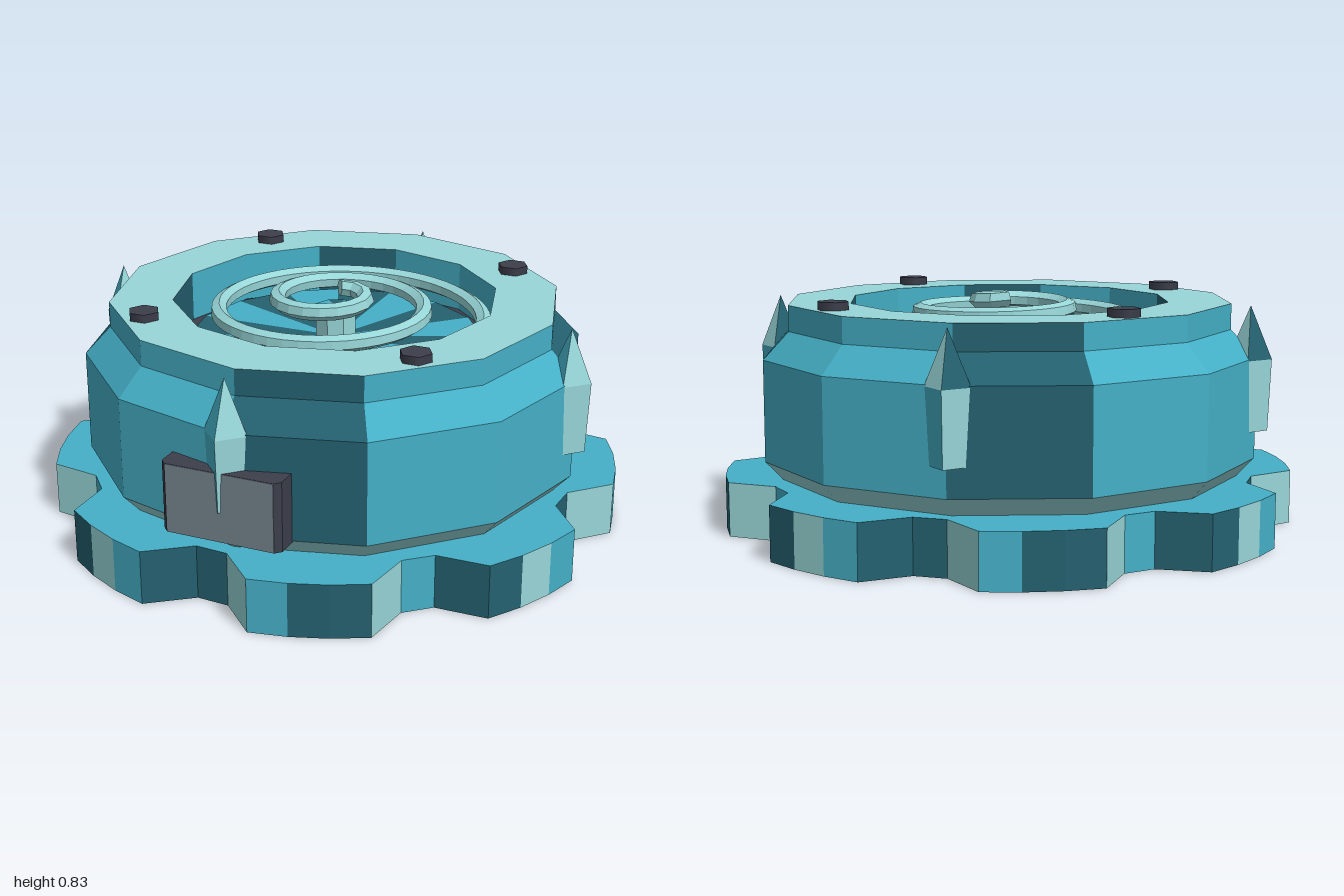
import * as THREE from 'three';

const mat = (name, color) => Object.assign(new THREE.MeshStandardMaterial({ color }), { name });

// Point on a circle: angle is measured from the front (+z) toward +x
const polar = (r, a, y) => [r * Math.sin(a), y, r * Math.cos(a)];

export function createModel() {
  const model = new THREE.Group();
  const teal = mat('teal', 0x45b0c7);
  const dark = mat('darkTeal', 0x246170);
  const light = mat('paleAqua', 0x98d6d8);
  const charcoal = mat('charcoal', 0x3c3e4b);
  const gray = mat('gray', 0x74848b);

  const add = (name, geometry, material, parent = model) => {
    const mesh = new THREE.Mesh(geometry, material);
    mesh.name = name;
    parent.add(mesh);
    return mesh;
  };

  // Faceted strip between two rings; pick(i) gives the material of facet i
  function band(name, n, [rA, yA], [rB, yB], pick, parent = model, start = 0) {
    const radius = (r, i) => (typeof r === 'function' ? r(i % n) : r);
    const mats = [], pos = [], geometry = new THREE.BufferGeometry();
    for (let i = 0; i < n; i++) {
      const a = start + (i / n) * Math.PI * 2, b = start + ((i + 1) / n) * Math.PI * 2;
      const p = polar(radius(rA, i), a, yA), q = polar(radius(rA, i + 1), b, yA);
      const s = polar(radius(rB, i + 1), b, yB), t = polar(radius(rB, i), a, yB);
      const first = pos.length / 3;
      if (rA !== 0) pos.push(...p, ...q, ...s);
      if (rB !== 0) pos.push(...p, ...s, ...t);
      const m = pick(i);
      if (!mats.includes(m)) mats.push(m);
      geometry.addGroup(first, pos.length / 3 - first, mats.indexOf(m));
    }
    geometry.setAttribute('position', new THREE.Float32BufferAttribute(pos, 3));
    geometry.computeVertexNormals();
    return add(name, geometry, mats, parent);
  }

  // Scalloped base: eight lobes, six outline points each
  const lobe = (i) => (i % 6 === 0 || i % 6 === 5 ? 0.872 : 1.0086);
  band('baseSide', 48, [lobe, 0], [lobe, 0.19], (i) => [light, teal, dark, dark][i % 4]);
  band('baseTop', 48, [lobe, 0.19], [0, 0.19], () => teal);
  band('baseBottom', 48, [0, 0], [lobe, 0], () => dark);

  // Twelve-sided drum, every third panel dark
  const panel = (i) => (i % 3 === 0 ? dark : teal);
  band('drumFoot', 12, [0.82, 0.19], [0.88, 0.255], () => light);
  band('drumWall', 12, [0.88, 0.255], [0.88, 0.61], panel);
  band('drumShoulder', 12, [0.88, 0.61], [0.79, 0.705], panel);
  band('drumCollar', 12, [0.79, 0.705], [0.79, 0.795], panel);
  band('drumRim', 12, [0.79, 0.795], [0.57, 0.795], () => light);

  // Recess with a sectored floor and a hub
  const sector = (i) => (i % 2 ? teal : dark);
  band('recessWall', 12, [0.57, 0.795], [0.57, 0.62], panel);
  band('recessFloor', 12, [0.57, 0.62], [0, 0.62], () => charcoal);
  band('dialSide', 16, [0.52, 0.62], [0.52, 0.64], sector);
  band('dialFace', 16, [0.52, 0.64], [0, 0.64], sector);
  band('hubSide', 8, [0.075, 0.64], [0.075, 0.75], () => light);
  band('hubTop', 8, [0.075, 0.75], [0, 0.75], sector);

  // Coil that rises as it winds inward
  class Coil extends THREE.Curve {
    getPoint(t, target = new THREE.Vector3()) {
      const q = t * 9.1;
      return target.set(...polar(0.53 - 0.052 * q, Math.PI / 2 * (1 + q), 0.71 + 0.01 * q));
    }
  }
  const curve = new Coil();
  const tube = new THREE.TubeGeometry(curve, 80, 0.03, 6).toNonIndexed();
  tube.computeVertexNormals();
  add('coil', tube, light);
  for (const [t, dir] of [[0, -1], [1, 1]]) {
    const cap = add('coilEnd', new THREE.CircleGeometry(0.03, 6), light);
    cap.position.copy(curve.getPoint(t));
    cap.lookAt(cap.position.clone().addScaledVector(curve.getTangent(t), dir));
  }

  // Hexagonal bolts on the rim
  for (const x of [-0.49, 0.49]) for (const z of [-0.49, 0.49]) {
    const bolt = add('bolt', new THREE.CylinderGeometry(0.055, 0.055, 0.03, 6), charcoal);
    bolt.rotation.y = Math.PI / 6;
    bolt.position.set(x, 0.808, z);
  }

  // Four crystal spikes around the drum
  for (let k = 0; k < 4; k++) {
    const spike = new THREE.Group();
    spike.name = 'spike';
    spike.position.set(...polar(0.857, k * Math.PI / 2, 0));
    band('spikeBase', 4, [0, 0.355], [0.066, 0.355], () => teal, spike);
    band('spikeBody', 4, [0.066, 0.355], [0.076, 0.605], (i) => [light, teal, light, teal][i], spike);
    band('spikeTip', 4, [0.076, 0.605], [0, 0.79], (i) => [light, light, dark, teal][i], spike);
    // The tip leans slightly away from the centre line
    model.add(spike);
  }

  // Front plaque: charcoal block with clipped corners and a gray face
  const outline = new THREE.Shape([
    [-0.21, -0.8], [0.21, -0.8], [0.21, -0.895], [0.19, -0.915], [-0.19, -0.915], [-0.21, -0.895],
  ].map(([x, y]) => new THREE.Vector2(x, y)));
  const block = new THREE.ExtrudeGeometry(outline, { depth: 0.24, bevelEnabled: false });
  block.rotateX(-Math.PI / 2);
  block.translate(0, 0.25, 0);
  add('plaque', block, charcoal);
  add('plaqueFace', new THREE.BoxGeometry(0.38, 0.238, 0.004), gray).position.set(0, 0.37, 0.915);

  return model;
}
